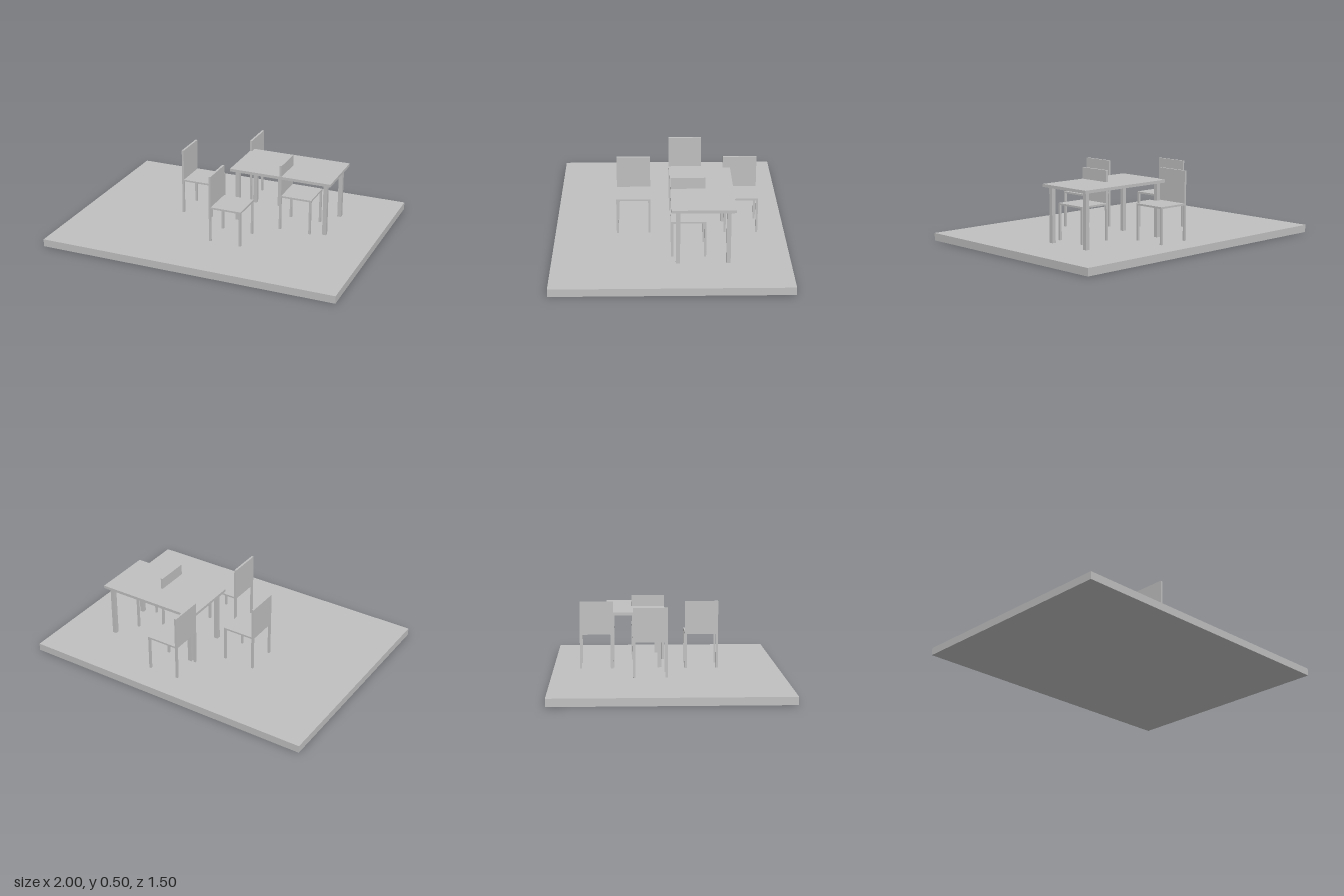
import * as THREE from 'three';

const grey = new THREE.MeshStandardMaterial({ color: 0xc0c0c0 });
grey.name = 'plain grey';

// Box given by its lower corner and its size
function box(parent, name, [x, y, z], [w, h, d]) {
  const mesh = new THREE.Mesh(new THREE.BoxGeometry(w, h, d), grey);
  mesh.position.set(x + w / 2, y + h / 2, z + d / 2);
  mesh.name = name;
  parent.add(mesh);
}

// Four square legs, inset from the edges of a w by d rectangle
function legs(parent, name, w, d, h, thick, inset) {
  for (const x of [inset, w - inset - thick])
    for (const z of [inset, d - inset - thick])
      box(parent, name, [x, 0, z], [thick, h, thick]);
}

// Chair with its backrest along the low x edge
function makeChair() {
  const chair = new THREE.Group();
  chair.name = 'chair';
  const w = 0.222, t = 0.014;
  legs(chair, 'chairLeg', w, w, 0.228, t, 0);
  box(chair, 'seat', [0, 0.228, 0], [w, 0.012, w]);
  box(chair, 'backrest', [0, 0.24, 0], [t, 0.21, w]);
  return chair;
}

function makeTable() {
  const table = new THREE.Group();
  table.name = 'table';
  legs(table, 'tableLeg', 0.7, 0.4, 0.356, 0.027, 0.029);
  box(table, 'tableTop', [0, 0.356, 0], [0.7, 0.019, 0.4]);
  return table;
}

export function createModel() {
  const model = new THREE.Group();
  model.name = 'diningSet';
  const floor = 0.05;

  // Floor slab
  box(model, 'floorSlab', [-1, 0, -0.75], [2, floor, 1.5]);

  const table = makeTable();
  table.position.set(0, floor, -0.4);
  model.add(table);

  // Chairs around and under the table, by their low corner
  for (const [x, z] of [[-0.352, -0.223], [0, 0.127], [0, -0.574], [0.35, -0.223]]) {
    const chair = makeChair();
    chair.position.set(x, floor, z);
    model.add(chair);
  }
  return model;
}
